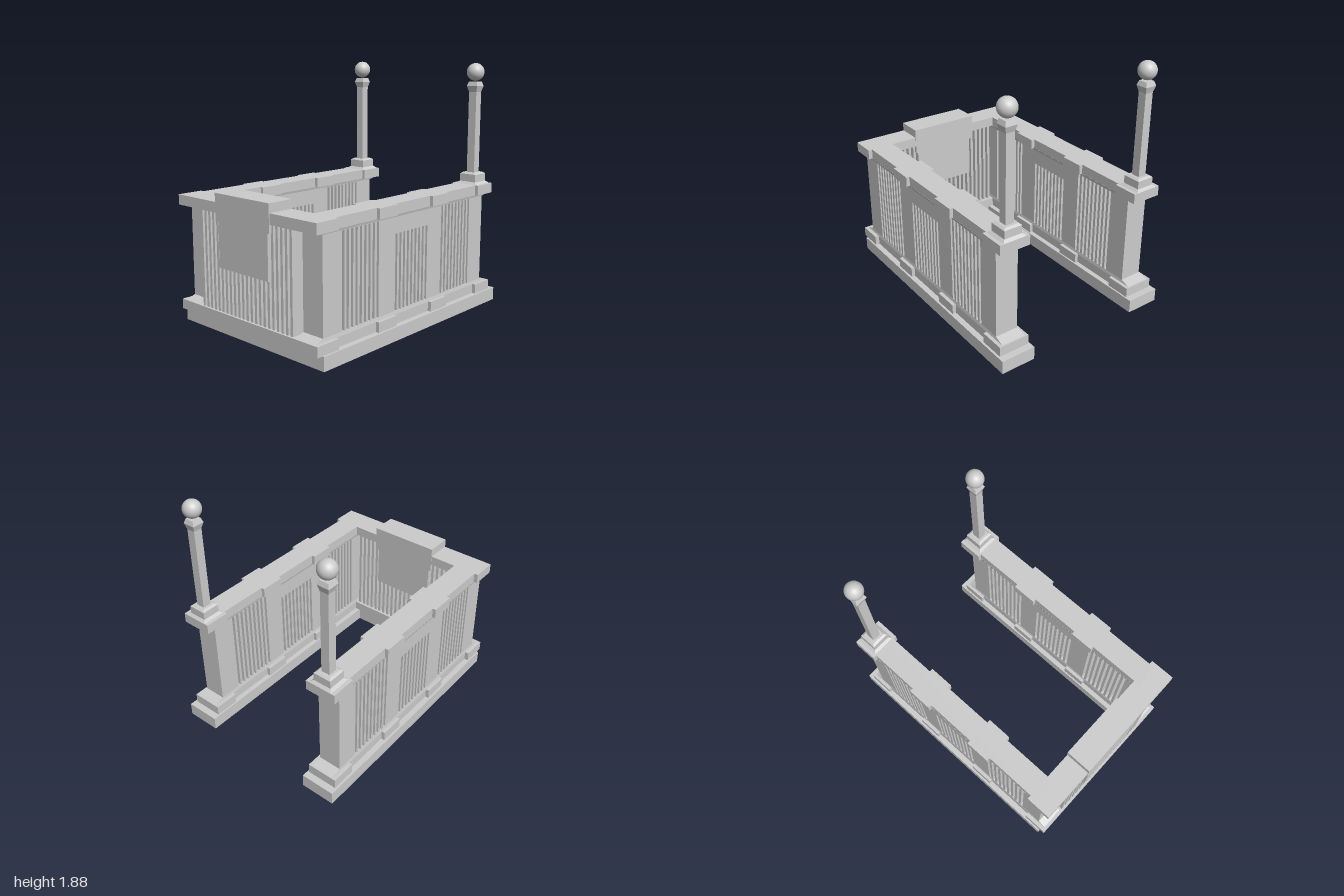
import * as THREE from 'three';

const mat = new THREE.MeshStandardMaterial({ color: 0xcccccc, flatShading: true });
const smooth = new THREE.MeshStandardMaterial({ color: 0xcccccc });

function add(parent, name, geo, material = mat) {
  const mesh = new THREE.Mesh(geo, material);
  mesh.name = name;
  parent.add(mesh);
  return mesh;
}

// Box given by its ranges
function box(parent, name, x0, x1, y0, y1, z0, z1) {
  const m = add(parent, name, new THREE.BoxGeometry(x1 - x0, y1 - y0, z1 - z0));
  m.position.set((x0 + x1) / 2, (y0 + y1) / 2, (z0 + z1) / 2);
  return m;
}

// Rectangular frustum: [width, z0, z1] at the bottom and at the top, centred on x
function frustum(parent, name, y0, y1, low, high) {
  const geo = new THREE.BoxGeometry(1, 1, 1);
  const p = geo.attributes.position;
  for (let i = 0; i < p.count; i++) {
    const top = p.getY(i) > 0;
    const [w, z0, z1] = top ? high : low;
    p.setXYZ(i, p.getX(i) * w, top ? y1 : y0, p.getZ(i) > 0 ? z1 : z0);
  }
  geo.computeVertexNormals();
  return add(parent, name, geo);
}

// Side wall with three slotted windows, profile in (z, y)
function slottedWall() {
  const shape = new THREE.Shape([[-0.86, 0.17], [0.91, 0.17], [0.91, 0.88], [-0.86, 0.88]]
    .map(([z, y]) => new THREE.Vector2(z, y)));
  const slots = 9, gap = 0.021, length = 0.36;
  const pitch = (length - gap) / (slots - 1);
  for (const [start, top] of [[0.375, 0.86], [-0.16, 0.745], [-0.687, 0.86]]) {
    for (let i = 0; i < slots; i++) {
      const a = start + i * pitch, b = a + gap;
      shape.holes.push(new THREE.Path([[a, 0.195], [a, top], [b, top], [b, 0.195]]
        .map(([z, y]) => new THREE.Vector2(z, y))));
    }
  }
  const geo = new THREE.ExtrudeGeometry(shape, { depth: 0.175, bevelEnabled: false });
  return geo.rotateY(-Math.PI / 2).translate(0.0875, 0, 0);
}

// Lamp post on the rear end of a side wall
function createPost() {
  const post = new THREE.Group();
  post.name = 'post';
  const zc = -0.857;
  const sq = w => [w, zc - w / 2, zc + w / 2];
  const steps = [
    ['pedestalFoot', 0.955, 0.972, 0.18, 0.14],
    ['pedestal', 0.972, 1.03, 0.138, 0.138],
    ['pedestalTop', 1.03, 1.042, 0.138, 0.105],
    ['shaft', 1.042, 1.66, 0.066, 0.066],
    ['capitalFlare', 1.66, 1.705, 0.066, 0.092],
    ['capitalTop', 1.705, 1.738, 0.092, 0.07],
  ];
  for (const [name, y0, y1, w0, w1] of steps) frustum(post, name, y0, y1, sq(w0), sq(w1));
  const ball = add(post, 'ball', new THREE.SphereGeometry(0.067, 24, 16), smooth);
  ball.position.set(0, 1.81, zc);
  return post;
}

function createSide() {
  const side = new THREE.Group();
  side.name = 'side';
  add(side, 'slottedWall', slottedWall());
  // Sloped mouldings between wall and rails
  const wide = [0.184, -0.945, 0.98], narrow = [0.175, -0.86, 0.91];
  frustum(side, 'lowerMoulding', 0.17, 0.195, wide, narrow);
  frustum(side, 'upperMoulding', 0.862, 0.88, narrow, wide);
  // Rails with projecting blocks
  for (const [name, y0, y1] of [['baseRail', 0.1, 0.173], ['topRail', 0.88, 0.955]]) {
    box(side, name, -0.091, 0.091, y0, y1, -0.93, 0.85);
    for (const z of [0.308, -0.275, -0.852]) {
      box(side, name + 'Block', -0.118, 0.118, y0, y1, z - 0.095, z + 0.095);
    }
  }
  side.add(createPost());
  return side;
}

export function createModel() {
  const model = new THREE.Group();
  model.name = 'enclosure';

  // U-shaped plinth
  const u = new THREE.Shape([[-0.71, 1], [-0.71, -0.95], [0.71, -0.95], [0.71, 1],
    [0.445, 1], [0.445, -0.81], [-0.445, -0.81], [-0.445, 1]]
    .map(([x, y]) => new THREE.Vector2(x, y)));
  add(model, 'plinth', new THREE.ExtrudeGeometry(u, { depth: 0.1, bevelEnabled: false })
    .rotateX(-Math.PI / 2));

  // Side walls
  for (const s of [-1, 1]) {
    const side = createSide();
    side.name = s > 0 ? 'leftSide' : 'rightSide';
    side.position.x = s * 0.575;
    model.add(side);
  }

  // Front wall: rails and vertical bars
  const front = new THREE.Group();
  front.name = 'frontWall';
  model.add(front);
  box(front, 'frontBaseRail', -0.697, 0.697, 0.1, 0.173, 0.8, 0.995);
  box(front, 'frontTopRail', -0.697, 0.697, 0.88, 0.955, 0.8, 0.995);
  const bars = 22, pitch = 0.97 / (bars + 0.5);
  for (let i = 0; i < bars; i++) {
    const x = (i - (bars - 1) / 2) * pitch;
    box(front, 'frontBar', x - 0.011, x + 0.011, 0.17, 0.885, 0.82, 0.98);
  }

  // Central blank panel with its head block
  box(front, 'panelHead', -0.272, 0.275, 0.82, 1.02, 0.797, 1);
  box(front, 'panel', -0.247, 0.253, 0.497, 0.825, 0.81, 0.995);

  return model;
}
